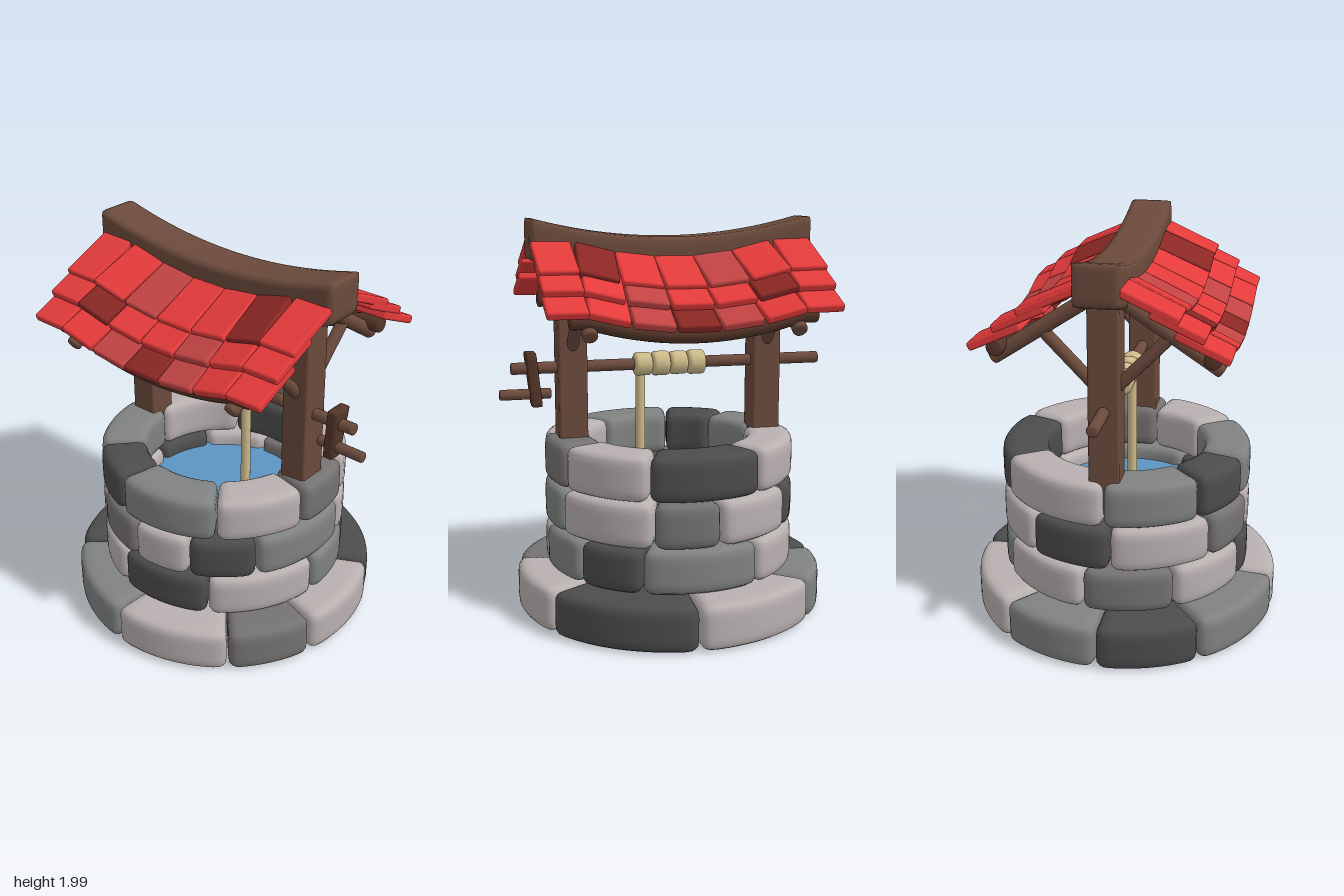
import * as THREE from 'three';
import { mergeVertices } from 'three/addons/utils/BufferGeometryUtils.js';
import { RoundedBoxGeometry } from 'three/addons/geometries/RoundedBoxGeometry.js';

const mat = (color) => new THREE.MeshStandardMaterial({ color });
const MID_Z = -0.025; // centre line of the well along z

const wood = mat(0x6b4a3c), woodDark = mat(0x553629), rope = mat(0xcdbb8a), water = mat(0x5b95c2);
const stones = { L: mat(0xb9b0b0), G: mat(0x808282), W: mat(0x757371), D: mat(0x4c4c4c) };
const reds = { r: mat(0xe33a3a), m: mat(0xc24343), d: mat(0x8a2724) };

function add(parent, name, geometry, material) {
  const mesh = new THREE.Mesh(geometry, material);
  mesh.name = name;
  parent.add(mesh);
  return mesh;
}

// Move every vertex by a rule, then smooth the normals
function warp(geometry, rule) {
  geometry.deleteAttribute('uv');
  geometry.deleteAttribute('normal');
  const g = mergeVertices(geometry, 1e-5);
  const p = g.attributes.position, v = new THREE.Vector3();
  for (let i = 0; i < p.count; i++) {
    rule(v.fromBufferAttribute(p, i));
    p.setXYZ(i, v.x, v.y, v.z);
  }
  g.computeVertexNormals();
  return g;
}

// Finely divided block with rounded edges, optionally bent by a rule
function block(w, h, d, r, step, bend = () => {}) {
  const n = (s) => Math.max(4, Math.round(s / step));
  const inner = new THREE.Vector3(w / 2 - r, h / 2 - r, d / 2 - r);
  const c = new THREE.Vector3();
  return warp(new THREE.BoxGeometry(w, h, d, n(w), n(h), n(d)), (v) => {
    c.copy(v).clamp(inner.clone().negate(), inner);
    v.sub(c).setLength(r).add(c);
    bend(v);
  });
}

// Round log along y with softened ends
function logGeometry(r, len, rings = 1) {
  const h = len / 2, e = r * 0.3;
  const pts = [[0, -h], [r * 0.7, -h], [r * 0.93, -h + e * 0.35]];
  for (let i = 0; i <= rings; i++) pts.push([r, -h + e + (len - 2 * e) * i / rings]);
  pts.push([r * 0.93, h - e * 0.35], [r * 0.7, h], [0, h]);
  return new THREE.LatheGeometry(pts.map(([x, y]) => new THREE.Vector2(x, y)), 16);
}

// Log between two points
function logBetween(parent, name, a, b, r, material) {
  const A = new THREE.Vector3(...a), B = new THREE.Vector3(...b);
  const m = add(parent, name, logGeometry(r, A.distanceTo(B)), material);
  m.position.copy(A).lerp(B, 0.5);
  m.quaternion.setFromUnitVectors(new THREE.Vector3(0, 1, 0), B.sub(A).normalize());
  return m;
}

// Downward sag of the roof along z
const sag = (z) => -0.08 * (1 - Math.min(1, ((z + 0.03) / 0.52) ** 2));

function buildWall(root) {
  // Each course: joint angles in degrees (0 = front, 90 = +x) and the stone after each joint
  const courses = [
    { y: 0.005, h: 0.227, inner: 0.415, outer: 0.785, at: [-48, -15, 29, 87, 140, 179, 218, 266], tone: 'WLDLGDGL' },
    { y: 0.235, h: 0.222, inner: 0.4, outer: 0.636, at: [-57, -3, 32, 64, 120, 170, 213, 256], tone: 'LGDGLWLD' },
    { y: 0.46, h: 0.224, inner: 0.4, outer: 0.636, at: [-66, -34, 19, 69, 100, 143, 183, 232, 265], tone: 'DGLWLDLWL' },
    { y: 0.688, h: 0.224, inner: 0.4, outer: 0.636, at: [-53, -11, 22, 67, 121, 180, 225, 257], tone: 'LWLDLGDG' },
  ];
  courses.forEach(({ y, h, inner, outer, at, tone }, row) => {
    const course = new THREE.Group();
    course.name = `stoneCourse${row + 1}`;
    course.position.set(0, y + h / 2, MID_Z);
    root.add(course);
    const mid = (inner + outer) / 2;
    at.forEach((start, i) => {
      const end = i + 1 < at.length ? at[i + 1] : at[0] + 360;
      const centre = THREE.MathUtils.degToRad((start + end) / 2);
      const length = THREE.MathUtils.degToRad(end - start) * mid - 0.005;
      const g = block(length, h, outer - inner, 0.045, 0.028, (v) => {
        const a = centre + v.x / mid, r = mid + v.z;
        v.x = r * Math.sin(a);
        v.z = r * Math.cos(a);
      });
      add(course, 'stone', g, stones[tone[i]]);
    });
  });
  const pool = add(root, 'water', new THREE.CylinderGeometry(0.44, 0.44, 0.5, 40), water);
  pool.position.set(0, 0.36, MID_Z);
}

function buildFrame(root) {
  for (const z of [0.478, -0.532]) {
    const post = add(root, 'post', new RoundedBoxGeometry(0.15, 1.1, 0.145, 2, 0.012), wood);
    post.position.set(0, 1.29, z);
    for (const s of [1, -1]) {
      logBetween(root, 'rafter', [s * 0.04, 1.805, z], [s * 0.54, 1.475, z], 0.037, wood);
      logBetween(root, 'brace', [s * 0.03, 1.345, z], [s * 0.31, 1.635, z], 0.03, wood);
    }
  }
  // Curved ridge beam and eaves logs
  const ridge = add(root, 'ridgeBeam', block(0.22, 0.205, 1.43, 0.018, 0.03, (v) => {
    v.y += 0.1 * (v.z / 0.715) ** 2;
  }), wood);
  ridge.position.set(0, 1.7975, -0.03);
  for (const s of [1, -1]) {
    const eaves = add(root, 'eavesLog', warp(logGeometry(0.042, 1.2, 20).rotateX(Math.PI / 2), (v) => {
      v.z -= 0.03;
      v.y += sag(v.z);
    }), woodDark);
    eaves.position.set(s * 0.5, 1.55, 0);
  }
}

function buildRoof(root) {
  const edges = [0.685, 0.488, 0.283, 0.078, -0.128, -0.334, -0.538, -0.735];
  // Top outer corner and length of each tile row, and its shades from front to back
  const rows = [
    { x: 0.372, y: 1.768, len: 0.3, tone: 'rdrrmrr' },
    { x: 0.487, y: 1.69, len: 0.27, tone: 'rrmrrdr' },
    { x: 0.6, y: 1.6, len: 0.27, tone: 'rrmdmrr' },
  ];
  const slope = 0.425, thick = 0.042, cos = Math.cos(slope), sin = Math.sin(slope);
  for (let c = 0; c < 7; c++) {
    const front = edges[c], back = edges[c + 1], width = front - back;
    const column = new THREE.Group();
    column.name = 'tileColumn';
    column.position.set(0, (sag(front) + sag(back)) / 2, (front + back) / 2);
    // Tilt about the tile height so neighbouring columns stay in line
    const tilt = Math.atan((sag(front) - sag(back)) / width);
    root.add(column);
    for (const { x, y, len, tone } of rows) {
      const g = new RoundedBoxGeometry(len, thick, width - 0.004, 2, 0.012);
      for (const s of [1, -1]) {
        const tile = add(column, 'roofTile', g, reds[tone[c]]);
        tile.position.set(s * (x - len / 2 * cos - thick / 2 * sin), y + len / 2 * sin - thick / 2 * cos, 0);
        tile.rotation.set(-tilt, 0, -s * slope);
      }
    }
  }
}

function buildWindlass(root) {
  const y = 1.26;
  logBetween(root, 'axle', [0, y, -0.835], [0, y, 0.78], 0.03, wood);
  logBetween(root, 'crankGrip', [0, 1.13, 0.58], [0, 1.13, 0.838], 0.027, wood);
  // Tapered, leaning crank arm
  const arm = add(root, 'crankArm', block(0.11, 0.275, 0.055, 0.008, 0.02, (v) => {
    v.x *= 0.82 + v.y * 1.3;
    v.z += v.y * 0.11;
  }), woodDark);
  arm.position.set(0, 1.203, 0.668);
  // Coiled rope and its hanging end
  for (let i = 0; i < 4; i++) {
    const z = 0.11 - i * 0.093;
    logBetween(root, 'ropeCoil', [0, y, z - 0.046], [0, y, z + 0.046], i % 2 ? 0.063 : 0.06, rope);
  }
  logBetween(root, 'hangingRope', [0, 0.58, 0.122], [0, 1.24, 0.122], 0.025, rope);
}

export function createModel() {
  const root = new THREE.Group();
  root.name = 'well';
  buildWall(root);
  buildFrame(root);
  buildRoof(root);
  buildWindlass(root);
  return root;
}
